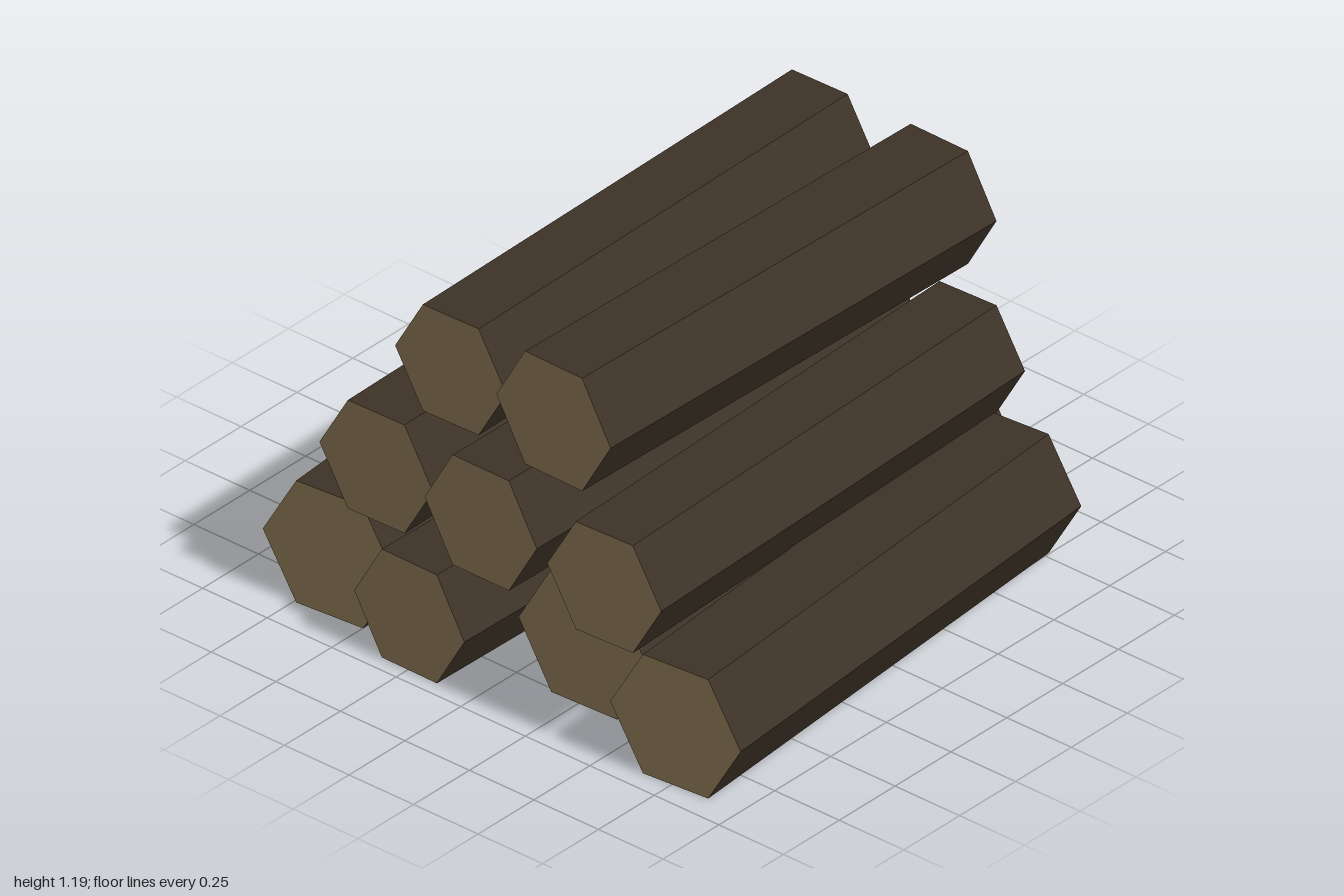
import * as THREE from 'three';

// Each log: name, x of both end centres, z of both end centres, lowest y, hexagon radius
const LOGS = [
  // bottom row
  ['bottomLogFront', -0.92, 0.76, 0.763, 0.628, 0, 0.237],
  ['bottomLogMidFront', -0.76, 0.93, 0.27, 0.2, 0, 0.245],
  ['bottomLogMidBack', -0.947, 0.745, -0.245, -0.22, 0, 0.216],
  ['bottomLogBack', -0.87, 0.81, -0.62, -0.757, 0, 0.243],
  // middle row
  ['middleLogFront', -0.935, 0.768, 0.5, 0.435, 0.4, 0.214],
  ['middleLogCentre', -0.907, 0.785, -0.003, 0.01, 0.4, 0.219],
  ['middleLogBack', -0.87, 0.82, -0.44, -0.473, 0.4, 0.216],
  // top row
  ['topLogFront', -0.833, 0.857, 0.215, 0.247, 0.8, 0.225],
  ['topLogBack', -0.802, 0.888, -0.21, -0.243, 0.8, 0.212],
];

export function createModel() {
  const bark = new THREE.MeshStandardMaterial({ color: 0x3d3227 });
  bark.name = 'darkBark';
  const cutWood = new THREE.MeshStandardMaterial({ color: 0x8b7856 });
  cutWood.name = 'cutWood';

  const pile = new THREE.Group();
  pile.name = 'logPile';

  for (const [name, x0, x1, z0, z1, base, radius] of LOGS) {
    const length = Math.hypot(x1 - x0, z1 - z0);
    // Six-sided log lying along x, flat faces up and down, with faceted normals
    const geometry = new THREE.CylinderGeometry(radius, radius, length, 6)
      .rotateZ(Math.PI / 2)
      .toNonIndexed();
    geometry.computeVertexNormals();

    // Bark on the sides, pale wood on both cut ends
    const log = new THREE.Mesh(geometry, [bark, cutWood, cutWood]);
    log.name = name;
    log.position.set((x0 + x1) / 2, base + radius * Math.sqrt(3) / 2, (z0 + z1) / 2);
    log.rotation.y = Math.atan2(z0 - z1, x1 - x0);
    pile.add(log);
  }
  return pile;
}
